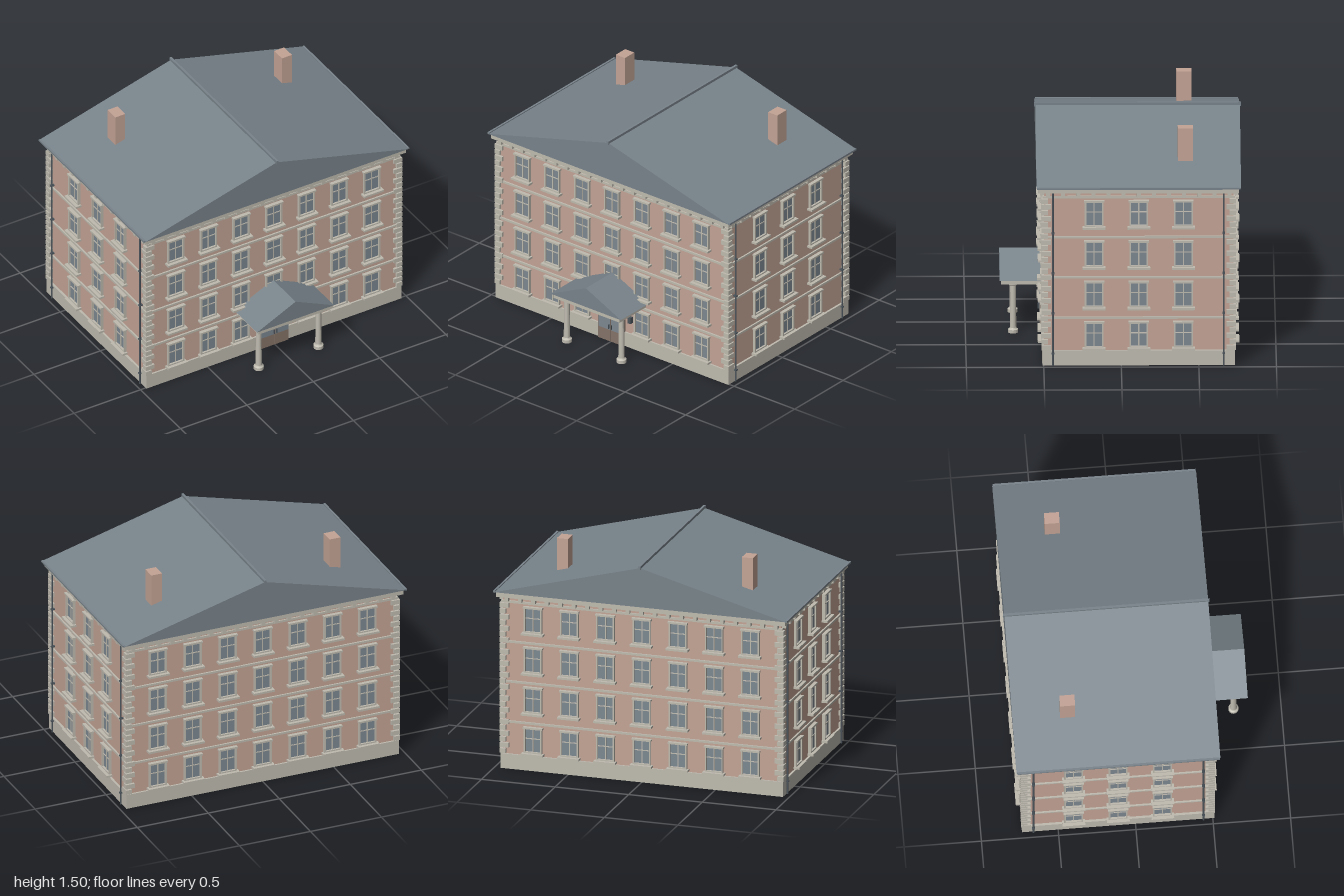
import * as THREE from 'three';

const mat = (name, color) => Object.assign(new THREE.MeshStandardMaterial({ color }), { name });
const brick = mat('brick', 0xc4a496);
const stone = mat('stone', 0xbfbbb0);
const slate = mat('slate', 0x78838a);
const glass = mat('glass', 0x7d8891);
const wood = mat('doorWood', 0x857468);
const iron = mat('iron', 0x4c555c);

const CZ = -0.1125;            // centre of the main block in z
const HX = 0.945, HZ = 0.61;   // half size of the brick walls

function add(parent, name, geo, material, x = 0, y = 0, z = 0) {
  const m = new THREE.Mesh(geo, material);
  m.name = name;
  m.position.set(x, y, z);
  parent.add(m);
  return m;
}

// box given by its centre in x and z and its bottom and top in y
function box(parent, name, material, w, y0, y1, d, x = 0, z = 0) {
  return add(parent, name, new THREE.BoxGeometry(w, y1 - y0, d), material, x, (y0 + y1) / 2, z);
}

// triangular roof prism running along z
function prism(halfWidth, y0, y1, z0, z1) {
  const s = new THREE.Shape([
    new THREE.Vector2(-halfWidth, y0), new THREE.Vector2(halfWidth, y0), new THREE.Vector2(0, y1)]);
  return new THREE.ExtrudeGeometry(s, { depth: z1 - z0, bevelEnabled: false }).translate(0, 0, z0);
}

// window facing +z, its sill bottom at the origin
function makeWindow() {
  const g = new THREE.Group();
  g.name = 'window';
  box(g, 'sill', stone, 0.148, 0, 0.014, 0.045, 0, 0.0175);
  box(g, 'lintel', stone, 0.132, 0.178, 0.19, 0.03, 0, 0.01);
  const s = new THREE.Shape([[-0.061, 0.014], [0.061, 0.014], [0.061, 0.178], [-0.061, 0.178]]
    .map(p => new THREE.Vector2(...p)));
  s.holes.push(new THREE.Path([[-0.051, 0.023], [-0.051, 0.175], [0.051, 0.175], [0.051, 0.023]]
    .map(p => new THREE.Vector2(...p))));
  add(g, 'surround', new THREE.ExtrudeGeometry(s, { depth: 0.018, bevelEnabled: false }), stone);
  box(g, 'pane', glass, 0.104, 0.022, 0.176, 0.006, 0, 0.002);
  box(g, 'mullion', stone, 0.007, 0.022, 0.176, 0.006, 0, 0.006);
  box(g, 'transom', stone, 0.104, 0.108, 0.114, 0.006, 0, 0.006);
  return g;
}

// ring of trim around the main block
function band(parent, name, y0, y1, out) {
  box(parent, name, stone, 2 * (HX + out), y0, y1, 2 * (HZ + out), 0, CZ);
}

function addWindows(root) {
  const proto = makeWindow();
  const place = (x, y, z, turn) => {
    const w = proto.clone();
    w.position.set(x, y, z);
    w.rotation.y = turn;
    root.add(w);
  };
  for (let f = 0; f < 4; f++) {
    const y = 0.106 + 0.272 * f;
    for (let i = -3; i <= 3; i++) {
      if (f > 0 || i !== 0) place(i * 0.246, y, CZ + HZ, 0);
      place(i * 0.246, y, CZ - HZ, Math.PI);
    }
    for (let i = -1; i <= 1; i++)
      for (const s of [-1, 1]) place(s * HX, y, CZ + i * 0.2875, s * Math.PI / 2);
  }
}

function addTrim(root) {
  // corner stones, alternately long in x and in z
  for (const sx of [-1, 1]) for (const sz of [-1, 1]) {
    for (let i = 0; i < 26; i++) {
      const y = 0.104 + i * 0.0395;
      const lx = i % 2 ? 0.062 : 0.042, lz = i % 2 ? 0.042 : 0.062;
      box(root, 'cornerStone', stone, lx, y, y + 0.031, lz,
        sx * (HX + 0.02 - lx / 2), CZ + sz * (HZ + 0.017 - lz / 2));
    }
  }
  for (const y of [0.312, 0.584, 0.855]) band(root, 'stringCourse', y, y + 0.014, 0.011);
  band(root, 'frieze', 1.125, 1.14, 0.01);
  band(root, 'cornice', 1.165, 1.2, 0.035);
  // blocks under the cornice
  for (const s of [-1, 1]) {
    for (let i = -10; i <= 10; i++)
      box(root, 'corniceBlock', stone, 0.026, 1.138, 1.167, 0.028, i * 0.0915, CZ + s * (HZ + 0.013));
    for (let i = -6; i <= 6; i++)
      box(root, 'corniceBlock', stone, 0.028, 1.138, 1.167, 0.026, s * (HX + 0.013), CZ + i * 0.0975);
  }
  // drain pipes with brackets
  for (const sx of [-1, 1]) for (const z of [0.44, -0.66]) {
    add(root, 'drainPipe', new THREE.CylinderGeometry(0.006, 0.006, 1.165, 10), iron, sx * 0.967, 0.5825, z);
    for (const y of [0.08, 0.35, 0.62, 0.89])
      box(root, 'pipeBracket', iron, 0.026, y, y + 0.008, 0.018, sx * 0.963, z);
  }
}

function addRoof(root) {
  add(root, 'roof', prism(0.99, 1.2, 1.465, -0.772, 0.547), slate);
  box(root, 'ridgeCap', slate, 0.016, 1.455, 1.48, 1.335, 0, CZ);
  for (const s of [-1, 1]) {
    box(root, 'gutter', slate, 0.014, 1.195, 1.207, 1.31, s * 0.993, CZ);
    box(root, 'chimney', brick, 0.075, 1.28, 1.505, 0.097, s * 0.628, -0.415);
  }
}

function addEntrance(root) {
  const zw = CZ + HZ;
  const door = new THREE.Group();
  door.name = 'door';
  root.add(door);
  for (const s of [-1, 1]) {
    box(door, 'doorLeaf', wood, 0.104, 0, 0.25, 0.026, s * 0.0527, zw + 0.01);
    box(door, 'doorGlass', glass, 0.094, 0.085, 0.243, 0.004, s * 0.053, zw + 0.024);
    box(door, 'handle', iron, 0.006, 0.095, 0.125, 0.012, s * 0.01, zw + 0.03);
    box(door, 'wallLamp', iron, 0.024, 0.182, 0.226, 0.024, s * 0.151, zw + 0.012);
  }
  // arch above the door
  const arch = new THREE.Shape();
  arch.absellipse(0, 0, 0.125, 0.08, 0, Math.PI, false);
  arch.lineTo(-0.1, 0);
  arch.absellipse(0, 0, 0.1, 0.058, Math.PI, 0, true);
  add(door, 'arch', new THREE.ExtrudeGeometry(arch, { depth: 0.035, bevelEnabled: false, curveSegments: 16 }),
    stone, 0, 0.25, zw);

  // porch
  const porch = new THREE.Group();
  porch.name = 'porch';
  root.add(porch);
  const profile = [[0, 0], [0.033, 0], [0.033, 0.022], [0.024, 0.028], [0.021, 0.034],
    [0.018, 0.315], [0.027, 0.322], [0.027, 0.337], [0, 0.337]].map(p => new THREE.Vector2(...p));
  const column = new THREE.LatheGeometry(profile, 20).toNonIndexed();
  column.computeVertexNormals();
  for (const s of [-1, 1]) add(porch, 'column', column, stone, s * 0.225, 0, 0.692);
  box(porch, 'porchBeam', stone, 0.548, 0.335, 0.364, 0.275, 0, 0.634);
  add(porch, 'porchRoof', prism(0.29, 0.363, 0.5, zw, 0.78), slate);
}

export function createModel() {
  const root = new THREE.Group();
  root.name = 'building';
  box(root, 'plinth', stone, 1.92, 0, 0.1, 1.244, 0, CZ);
  box(root, 'walls', brick, 2 * HX, 0.09, 1.19, 2 * HZ, 0, CZ);
  addWindows(root);
  addTrim(root);
  addRoof(root);
  addEntrance(root);
  return root;
}
